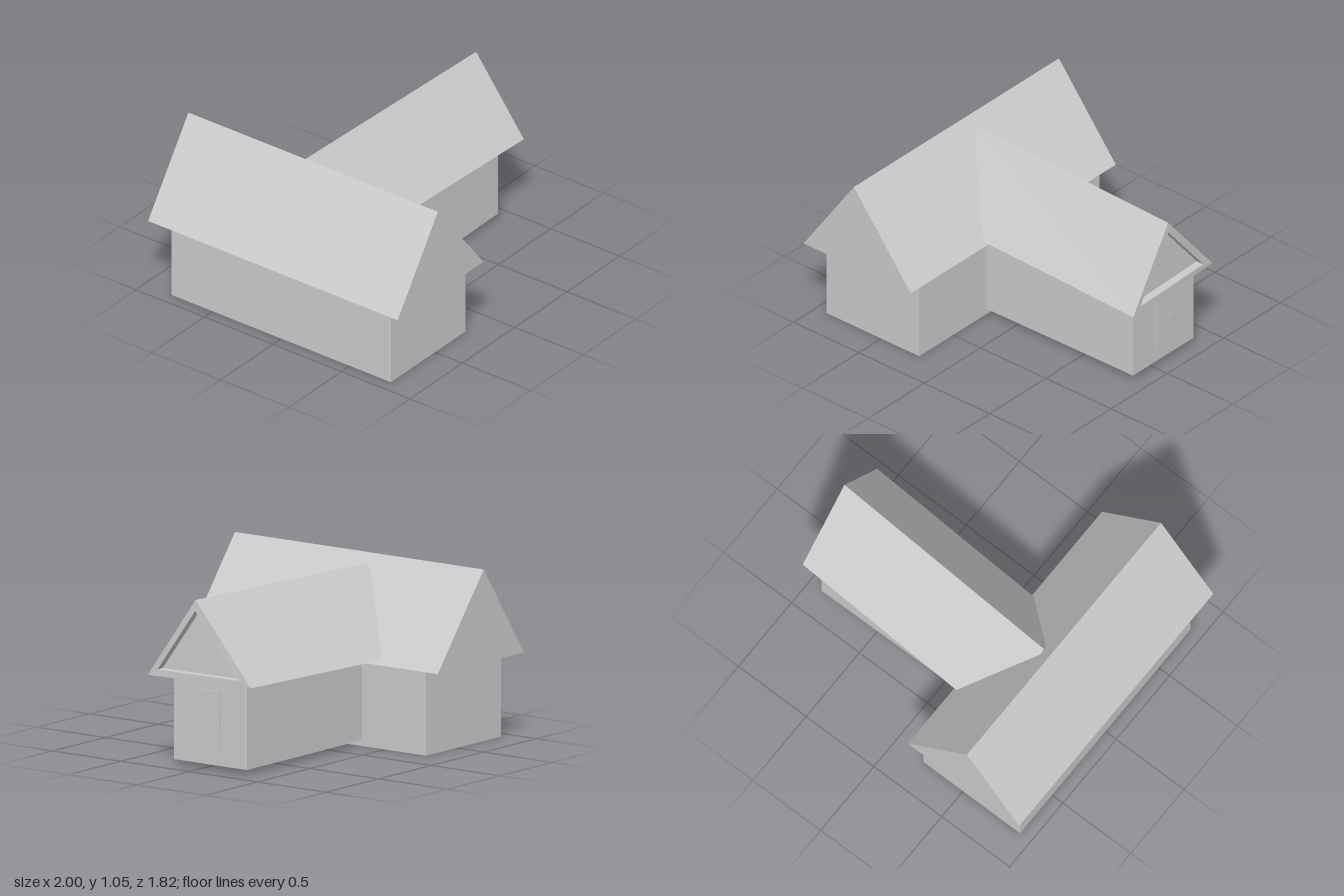
import * as THREE from 'three';

const grey = new THREE.MeshStandardMaterial({ color: 0xcccccc });
grey.name = 'plain grey';

// Skin a series of matching cross-sections, closing both ends.
// Corners run counter-clockwise as seen looking back along the sweep.
function loft(name, rings) {
  const pos = [];
  const tri = (a, b, c) => pos.push(...a, ...b, ...c);
  const n = rings[0].length;
  for (let r = 0; r < rings.length - 1; r++) {
    const p = rings[r], q = rings[r + 1];
    for (let i = 0; i < n; i++) {
      const j = (i + 1) % n;
      tri(p[i], p[j], q[j]);
      tri(p[i], q[j], q[i]);
    }
  }
  const first = rings[0], last = rings[rings.length - 1];
  for (let i = 1; i < n - 1; i++) {
    tri(first[0], first[i + 1], first[i]);
    tri(last[0], last[i], last[i + 1]);
  }
  const geo = new THREE.BufferGeometry();
  geo.setAttribute('position', new THREE.Float32BufferAttribute(pos, 3));
  geo.computeVertexNormals();
  const mesh = new THREE.Mesh(geo, grey);
  mesh.name = name;
  return mesh;
}

// Box given by its minimum and maximum corners
function box(name, a, b) {
  const size = b.map((v, i) => v - a[i]);
  const mesh = new THREE.Mesh(new THREE.BoxGeometry(...size), grey);
  mesh.position.set(...a.map((v, i) => (v + b[i]) / 2));
  mesh.name = name;
  return mesh;
}

export function createModel() {
  const house = new THREE.Group();
  house.name = 'house';

  // Main block with a solid gable roof along z
  house.add(box('mainWalls', [-0.92, 0, -0.8], [-0.21, 0.5, 0.8]));
  const gable = z => [[-0.615, 1.05, z], [-1, 0.5, z], [-0.18, 0.5, z]];
  house.add(loft('mainRoof', [gable(-0.91), gable(0.91)]));

  // Side wing, very slightly turned, running into the main block
  const wingEnd = (x, top, back, front) => [
    [x, top, back], [x, top, front], [x, 0.035, front], [x, 0.035, back],
  ];
  house.add(loft('wingWalls', [
    wingEnd(-0.3, 0.53, -0.332, 0.203),
    wingEnd(0.9, 0.537, -0.345, 0.189),
  ]));

  // Wing roof: skewed ridge, with a framed and recessed pediment at its open end
  const pediment = depth => [
    [0.982 - depth, 0.95, -0.03],
    [0.996 - depth, 0.575, 0.235],
    [0.977 - depth, 0.575, -0.345],
  ];
  house.add(loft('wingRoof', [
    [[-0.55, 1.0, -0.107], [-0.55, 0.522, 0.229], [-0.55, 0.525, -0.501]],
    [[0.98, 1.015, -0.03], [1.0, 0.535, 0.303], [0.973, 0.54, -0.43]],
    pediment(0),
    pediment(0.05),
  ]));

  // Door: raised panel on a narrower backing, with a small handle
  const door = new THREE.Group();
  door.name = 'door';
  door.add(box('doorBacking', [0.89, 0.15, -0.148], [0.907, 0.468, -0.007]));
  door.add(box('doorPanel', [0.907, 0.14, -0.157], [0.914, 0.477, 0.003]));
  door.add(box('handleBar', [0.914, 0.308, -0.132], [0.918, 0.314, -0.11]));
  const knob = new THREE.Mesh(new THREE.SphereGeometry(0.006, 10, 8), grey);
  knob.name = 'handleKnob';
  knob.position.set(0.914, 0.311, -0.13);
  door.add(knob);
  house.add(door);

  return house;
}
